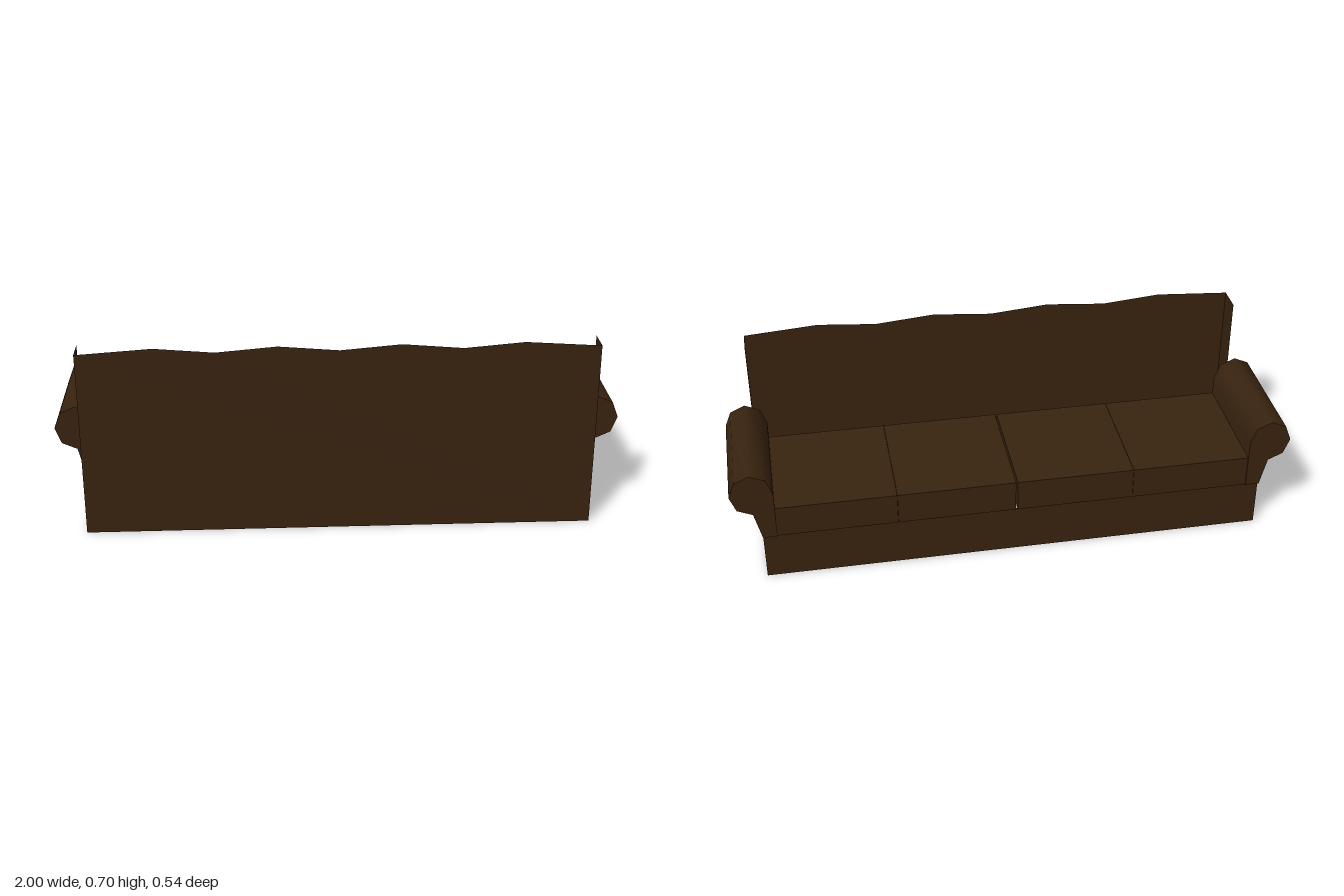
import * as THREE from 'three';
import { toCreasedNormals } from 'three/addons/utils/BufferGeometryUtils.js';

const leather = new THREE.MeshStandardMaterial({ color: 0x38230f, side: THREE.DoubleSide });
leather.name = 'dark brown leather';

const BACK = 0.27, FRONT = -0.26, HALF = 0.9, BASE_TOP = 0.18;

const shapeOf = (pts) => new THREE.Shape(pts.map(([x, y]) => new THREE.Vector2(x, y)));

export function createModel() {
  const sofa = new THREE.Group();
  sofa.name = 'sofa';

  const add = (name, geometry, x = 0, y = 0, z = 0) => {
    const mesh = new THREE.Mesh(geometry, leather);
    mesh.name = name;
    mesh.position.set(x, y, z);
    sofa.add(mesh);
    return mesh;
  };

  // Back panel: a single sheet with a gently scalloped top edge
  const wave = [[-HALF, 0.68], [-0.635, 0.698], [-0.425, 0.68], [-0.212, 0.698], [0, 0.68],
    [0.212, 0.698], [0.425, 0.68], [0.635, 0.698], [HALF, 0.68]];
  add('backPanel', new THREE.ShapeGeometry(shapeOf([[-HALF, 0], ...wave, [HALF, 0]])), 0, 0, BACK);

  // Front of the open-bottomed base
  add('baseFront', new THREE.PlaneGeometry(HALF * 2, BASE_TOP).rotateY(Math.PI), 0, BASE_TOP / 2, FRONT);

  // Seat cushions overhang the base a little, with a wider gap in the middle
  const edges = [0.003, 0.4245, 0.4255, 0.85];
  for (const s of [-1, 1]) {
    for (let i = 0; i < 4; i += 2) {
      const w = edges[i + 1] - edges[i];
      add('seatCushion', new THREE.BoxGeometry(w, 0.118, 0.441), s * (edges[i] + w / 2), 0.239, -0.0475);
    }

    // L-shaped side sheet: low along the seat, tall at the backrest
    const side = shapeOf([[FRONT, 0], [BACK, 0], [BACK, 0.68], [0.175, 0.68], [0.175, BASE_TOP], [FRONT, BASE_TOP]]);
    const sideGeometry = new THREE.ShapeGeometry(side).rotateY(-Math.PI / 2);
    add('sidePanel', sideGeometry, s * HALF);

    // Armrest: an octagonal roll over a support that tapers to the base
    const profile = [[s * 0.85, BASE_TOP], [s * HALF, BASE_TOP]];
    for (let i = -2; i <= 4; i++) {
      const a = i * Math.PI / 4;
      profile.push([s * (0.925 + 0.075 * Math.cos(a)), 0.365 + 0.081 * Math.sin(a)]);
    }
    const arm = new THREE.ExtrudeGeometry(shapeOf(profile), { depth: 0.444, bevelEnabled: false });
    add('armrest', toCreasedNormals(arm, 0.9), 0, 0, -0.272);
  }
  return sofa;
}
